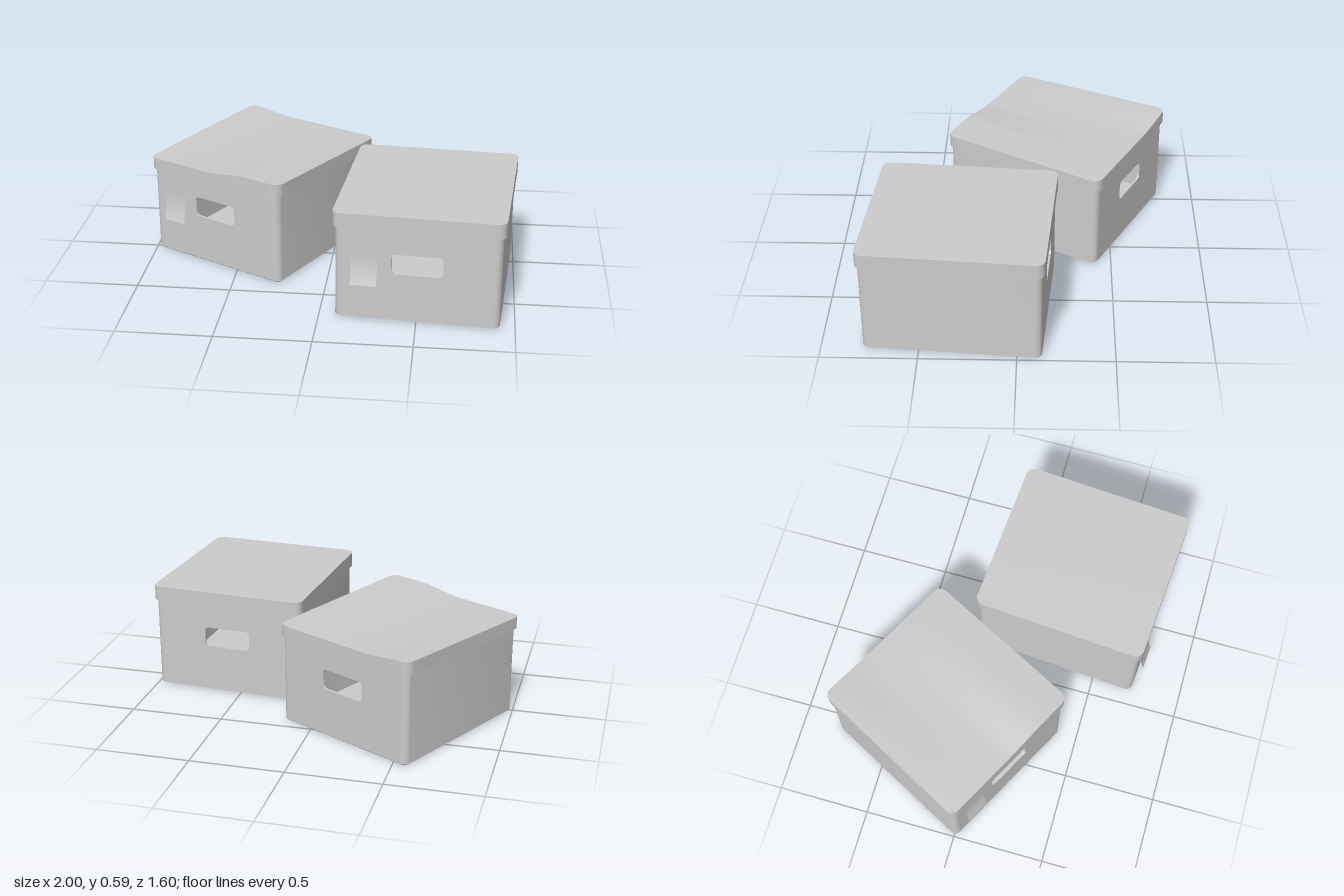
import * as THREE from 'three';
import { toCreasedNormals } from 'three/addons/utils/BufferGeometryUtils.js';

const material = new THREE.MeshStandardMaterial({ color: 0xcccccc });
const sheetMaterial = new THREE.MeshStandardMaterial({ color: 0xcccccc, side: THREE.DoubleSide });

const W = 0.842, D = 0.916, R = 0.035; // box footprint and corner radius
const WALL = 0.012, BASE = 0.008, TOP = 0.515;
const OVERHANG = 0.013;

function add(parent, name, geometry, mat = material) {
  const mesh = new THREE.Mesh(geometry, mat);
  mesh.name = name;
  parent.add(mesh);
  return mesh;
}

// Rounded rectangle outline in x/z with subdivided sides
function outline(w, d, r, arc = 6, side = 20) {
  const corners = [[1, 1], [-1, 1], [-1, -1], [1, -1]].map(([sx, sz], q) => {
    const pts = [];
    for (let i = 0; i <= arc; i++) {
      const a = (q + i / arc) * Math.PI / 2;
      pts.push([sx * (w / 2 - r) + r * Math.cos(a), sz * (d / 2 - r) + r * Math.sin(a)]);
    }
    return pts;
  });
  const out = [];
  corners.forEach((pts, q) => {
    out.push(...pts);
    const a = pts[arc], b = corners[(q + 1) % 4][0];
    for (let i = 1; i < side; i++) {
      const t = i / side;
      out.push([a[0] + (b[0] - a[0]) * t, a[1] + (b[1] - a[1]) * t]);
    }
  });
  return out;
}

// Skin a list of rings [width, depth, radius, y]; warp adds height by position
function loft(rings, warp = () => 0) {
  const pos = [], index = [];
  let n = 0;
  rings.forEach(([w, d, r, y]) => {
    const pts = outline(w, d, r);
    n = pts.length;
    pts.forEach(([x, z]) => pos.push(x, y + warp(x, z), z));
  });
  for (let i = 0; i < rings.length - 1; i++) {
    for (let j = 0; j < n; j++) {
      const k = (j + 1) % n;
      const a = i * n + j, b = i * n + k, c = a + n, d = b + n;
      index.push(a, c, d, a, d, b);
    }
  }
  const g = new THREE.BufferGeometry();
  g.setAttribute('position', new THREE.Float32BufferAttribute(pos, 3));
  g.setIndex(index);
  return toCreasedNormals(g, 0.5);
}

// Rings that fill a rounded rectangle from its centre to its rim
function disc(w, d, r, y, steps) {
  return Array.from({ length: steps + 1 }, (_, i) => {
    const k = Math.max(i / steps, 0.001);
    return [w * k, d * k, r * k, y];
  });
}

// Side wall with both rounded corners, as a C-shaped footprint
function sideWall() {
  const s = new THREE.Shape(), cx = W / 2 - R, cy = D / 2 - R, q = Math.PI / 2;
  s.moveTo(cx, -D / 2);
  s.absarc(cx, -cy, R, -q, 0, false);
  s.absarc(cx, cy, R, 0, q, false);
  s.lineTo(cx, D / 2 - WALL);
  s.absarc(cx, cy, R - WALL, q, 0, true);
  s.absarc(cx, -cy, R - WALL, 0, -q, true);
  s.closePath();
  const g = new THREE.ExtrudeGeometry(s, { depth: TOP - BASE, bevelEnabled: false, curveSegments: 6 });
  g.rotateX(-Math.PI / 2).translate(0, BASE, 0);
  return toCreasedNormals(g, 0.5);
}

// End wall with a rounded hand hole
function endWall() {
  const w = W / 2 - R;
  const s = new THREE.Shape();
  s.moveTo(-w, BASE).lineTo(w, BASE).lineTo(w, TOP).lineTo(-w, TOP).closePath();
  const hx = 0.13, y0 = 0.265, y1 = 0.375, r = 0.02, q = Math.PI / 2;
  const h = new THREE.Path();
  h.absarc(hx - r, y0 + r, r, -q, 0, false);
  h.absarc(hx - r, y1 - r, r, 0, q, false);
  h.absarc(-hx + r, y1 - r, r, q, 2 * q, false);
  h.absarc(-hx + r, y0 + r, r, 2 * q, 3 * q, false);
  h.closePath();
  s.holes.push(h);
  const g = new THREE.ExtrudeGeometry(s, { depth: WALL, bevelEnabled: false, curveSegments: 5 });
  g.translate(0, 0, D / 2 - WALL);
  return toCreasedNormals(g, 0.5);
}

// Paper label fixed at the top, curling away at the bottom
function labelSheet() {
  const h = 0.165, g = new THREE.PlaneGeometry(0.135, h, 1, 8), p = g.attributes.position;
  for (let i = 0; i < p.count; i++) {
    const t = 0.5 - p.getY(i) / h;
    p.setZ(i, 0.002 + 0.028 * t * t);
  }
  g.computeVertexNormals();
  return g;
}

function lidGeometry(skirt, warp) {
  const w = W + 2 * OVERHANG, d = D + 2 * OVERHANG, r = R + 0.01, t = 0.01;
  const iw = w - 2 * t, id = d - 2 * t, ir = r - t;
  return loft([
    ...disc(iw, id, ir, -t, 16),
    [iw, id, ir, -t], [iw, id, ir, -skirt],
    [w, d, r, -skirt], [w, d, r, 0],
    ...disc(w, d, r, 0, 16).reverse(),
  ], warp);
}

function storageBox(name, { lidTop, skirt, sag, warp }) {
  const box = new THREE.Group();
  box.name = name;
  for (const turn of [0, Math.PI]) {
    add(box, 'sideWall', sideWall()).rotation.y = turn;
    add(box, 'endWall', endWall()).rotation.y = turn;
  }
  // Floor, dropping slightly below the walls
  add(box, 'floor', loft([
    ...disc(W - 0.02, D - 0.02, R - 0.01, BASE - sag, 2),
    [W, D, R, BASE],
    ...disc(W - WALL, D - WALL, R - WALL / 2, BASE + WALL, 2).reverse(),
  ]));
  add(box, 'label', labelSheet(), sheetMaterial).position.set(-0.27, 0.285, D / 2);
  add(box, 'lid', lidGeometry(skirt, warp)).position.y = lidTop;
  return box;
}

// Twisted lid: one front corner and the opposite back corner lift up
function twist(x, z) {
  const s = x / (W + 2 * OVERHANG) + 0.5, t = z / (D + 2 * OVERHANG) + 0.5;
  const front = 0.028 * THREE.MathUtils.smoothstep(s, 0.45, 0.78);
  const back = 0.023 * (1 - THREE.MathUtils.smoothstep(s, 0, 0.35));
  return back + (front - back) * t;
}

export function createModel() {
  const model = new THREE.Group();
  model.name = 'storageBoxes';

  const rear = storageBox('rearBox', { lidTop: 0.547, skirt: 0.066, sag: 0.008, warp: twist });
  rear.position.set(-0.41, 0, -0.2);
  rear.rotation.y = -THREE.MathUtils.degToRad(27.7);

  const front = storageBox('frontBox', { lidTop: 0.586, skirt: 0.081, sag: 0.003 });
  front.position.set(0.535, 0, 0.3);
  front.rotation.y = -THREE.MathUtils.degToRad(4.3);

  model.add(rear, front);
  return model;
}
